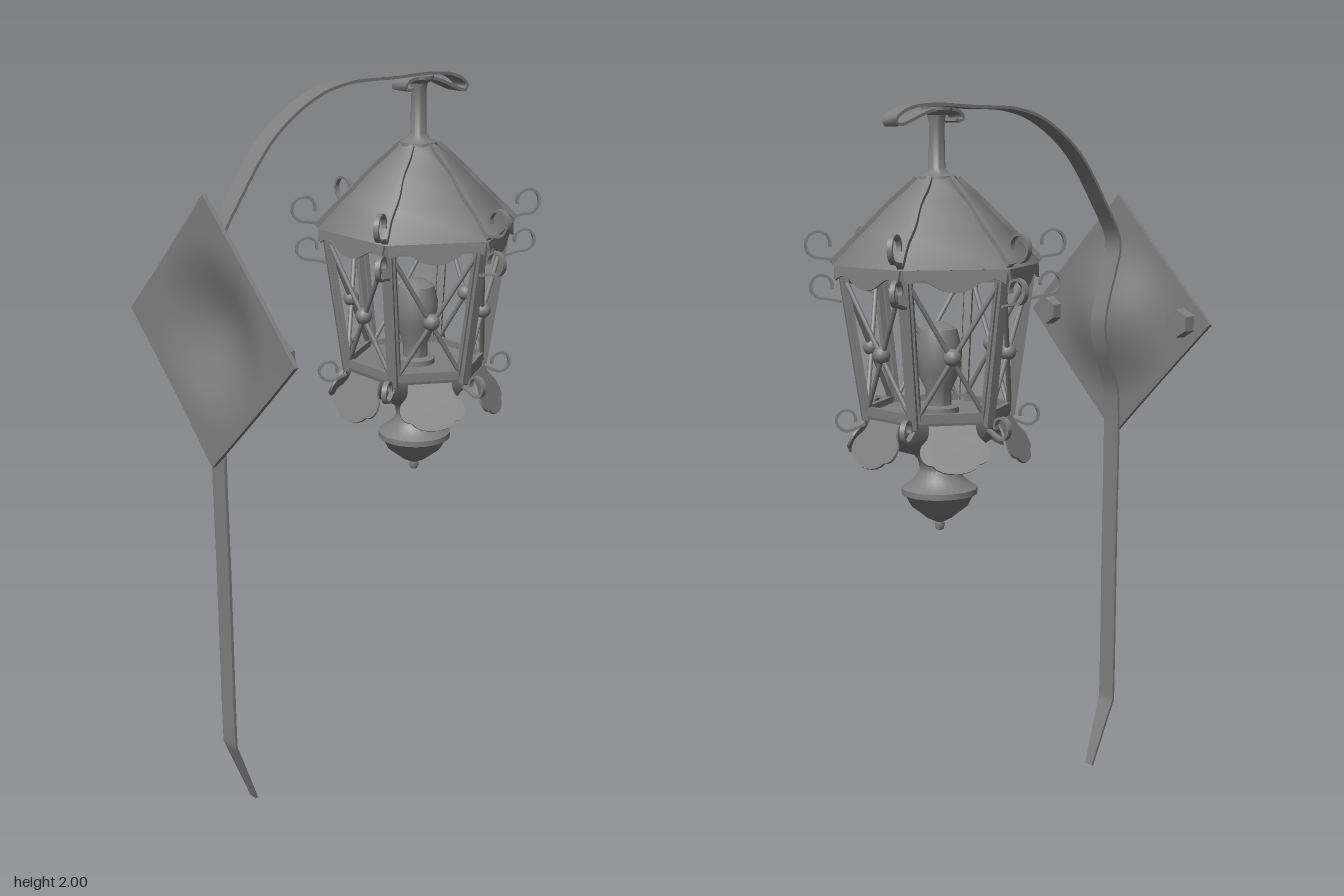
import * as THREE from 'three';
import { toCreasedNormals } from 'three/addons/utils/BufferGeometryUtils.js';

const iron = new THREE.MeshStandardMaterial({ color: 0x7e7e7e, side: THREE.DoubleSide });
iron.name = 'grey iron';

const UP = new THREE.Vector3(0, 1, 0);
const V2 = (p) => new THREE.Vector2(p[0], p[1]);

function add(parent, name, geometry, x = 0, y = 0, z = 0) {
  const mesh = new THREE.Mesh(geometry, iron);
  mesh.name = name;
  mesh.position.set(x, y, z);
  parent.add(mesh);
  return mesh;
}

// Flat iron strip following [z, y] points, wide along x
function strip(points, width, thick, steps) {
  const curve = new THREE.CatmullRomCurve3(points.map(([z, y]) => new THREE.Vector3(0, y, z)));
  curve.arcLengthDivisions = 800;
  const geo = new THREE.BoxGeometry(1, 1, 1, 1, 1, steps);
  const pos = geo.attributes.position;
  for (let i = 0; i < pos.count; i++) {
    const t = THREE.MathUtils.clamp(pos.getZ(i) + 0.5, 0, 1);
    const p = curve.getPointAt(t), d = curve.getTangentAt(t);
    const off = pos.getY(i) * thick;
    pos.setXYZ(i, pos.getX(i) * width(p.y, t), p.y + d.z * off, p.z - d.y * off);
  }
  geo.computeVertexNormals();
  return geo;
}

// Straight bar between two points of its parent
function bar(parent, name, a, b, width, depth, round = false) {
  const from = new THREE.Vector3(...a), to = new THREE.Vector3(...b);
  const len = from.distanceTo(to);
  const geo = round
    ? new THREE.CylinderGeometry(width / 2, width / 2, len, 8).rotateX(Math.PI / 2)
    : new THREE.BoxGeometry(width, depth, len);
  const mesh = add(parent, name, geo);
  mesh.position.copy(from).add(to).multiplyScalar(0.5);
  mesh.quaternion.setFromRotationMatrix(new THREE.Matrix4().lookAt(to, from, UP));
}

const roundLathe = (pts) => toCreasedNormals(new THREE.LatheGeometry(pts.map(V2), 28), 0.7);
// Six-sided turned form with corners on the x axis and softened ridges
const hexLathe = (pts) => toCreasedNormals(new THREE.LatheGeometry(pts.map(V2), 6, Math.PI / 6), 0.9);

// Open curl rising from a foot and winding back on itself
function curl(foot, centre, r) {
  const pts = [foot];
  for (let i = 0; i <= 12; i++) {
    const a = -1.75 + i * 0.43;
    const k = r * (1 - 0.018 * i);
    pts.push([centre[0] + k * Math.cos(a), centre[1] + k * Math.sin(a)]);
  }
  return strip(pts, () => 0.014, 0.007, 48);
}

function extrude(shape, depth) {
  return new THREE.ExtrudeGeometry(shape, { depth, bevelEnabled: false, curveSegments: 8 });
}

// Flared skirt leaf, hanging down from y = 0
function petalShape() {
  const s = new THREE.Shape();
  s.moveTo(-0.062, 0);
  s.quadraticCurveTo(-0.06, -0.03, -0.078, -0.045);
  s.bezierCurveTo(-0.1, -0.06, -0.095, -0.108, -0.06, -0.108);
  s.bezierCurveTo(-0.045, -0.14, 0.045, -0.14, 0.06, -0.108);
  s.bezierCurveTo(0.095, -0.108, 0.1, -0.06, 0.078, -0.045);
  s.quadraticCurveTo(0.06, -0.03, 0.062, 0);
  return s;
}

// Scalloped trim below the eave
function valanceShape() {
  const s = new THREE.Shape();
  s.moveTo(-0.135, 0);
  s.lineTo(-0.128, -0.04);
  s.quadraticCurveTo(-0.095, -0.015, -0.06, -0.04);
  s.quadraticCurveTo(0, -0.08, 0.06, -0.04);
  s.quadraticCurveTo(0.095, -0.015, 0.128, -0.04);
  s.lineTo(0.135, 0);
  return s;
}

function buildBracket(root) {
  const bracket = new THREE.Group();
  bracket.name = 'bracket';
  root.add(bracket);

  // Long strap: bent foot, bulge over the plate, arch and end scroll
  const path = [
    [0.405, 0], [0.442, 0.1], [0.476, 0.19], [0.48, 0.2], [0.481, 0.22], [0.482, 0.7],
    [0.482, 1.14], [0.474, 1.2], [0.432, 1.31], [0.419, 1.38], [0.43, 1.44], [0.466, 1.55],
    [0.479, 1.6], [0.474, 1.64], [0.415, 1.735], [0.3, 1.88], [0.165, 1.966], [0.06, 1.992],
    [-0.1, 1.994], [-0.23, 1.996], [-0.31, 1.986], [-0.355, 1.964], [-0.362, 1.95],
    [-0.35, 1.942], [-0.31, 1.955], [-0.25, 1.978], [-0.19, 1.986], [-0.145, 1.979],
    [-0.134, 1.966], [-0.142, 1.956], [-0.162, 1.96],
  ];
  const width = (y) => THREE.MathUtils.lerp(0.028, 0.057, Math.min(1, y / 0.2));
  add(bracket, 'strap', strip(path, width, 0.008, 220));

  // Diamond plate pressed backwards in the middle
  const plate = new THREE.BoxGeometry(0.505, 0.505, 0.012, 24, 24, 1).rotateZ(Math.PI / 4);
  const pos = plate.attributes.position;
  for (let i = 0; i < pos.count; i++) {
    const r = Math.hypot(pos.getX(i), pos.getY(i));
    const f = 1 - THREE.MathUtils.smoothstep(r, 0.01, 0.24);
    pos.setZ(i, pos.getZ(i) - 0.052 * f - 0.012 * Math.max(0, 1 - r / 0.34));
  }
  plate.computeVertexNormals();
  add(bracket, 'wallPlate', plate, 0, 1.402, 0.501);

  // Hexagonal bolt heads on the back
  for (const x of [-0.264, 0.264]) {
    const head = new THREE.CylinderGeometry(0.04, 0.043, 0.034, 6).rotateX(-Math.PI / 2);
    add(bracket, 'bolt', toCreasedNormals(head, 0.4), x, 1.402, 0.477);
  }
}

function buildLantern(root) {
  const lantern = new THREE.Group();
  lantern.name = 'lantern';
  lantern.position.z = -0.205;
  root.add(lantern);

  add(lantern, 'hanger', roundLathe([
    [0.052, 1.8], [0.05, 1.815], [0.034, 1.82], [0.022, 1.835], [0.02, 1.95], [0.024, 1.97], [0.04, 1.982], [0.04, 1.99], [0, 1.99],
  ]));
  add(lantern, 'roof', hexLathe([
    [0.235, 1.582], [0.281, 1.586], [0.205, 1.668], [0.125, 1.746], [0.05, 1.814],
  ]));
  add(lantern, 'bowl', hexLathe([
    [0.055, 1.07], [0.11, 1.085], [0.17, 1.125], [0.2, 1.172], [0.205, 1.195], [0.16, 1.192], [0, 1.185],
  ]));
  add(lantern, 'finial', roundLathe([
    [0, 0.86], [0.01, 0.864], [0.014, 0.875], [0.012, 0.886], [0.035, 0.898], [0.078, 0.932], [0.092, 0.958],
    [0.104, 0.966], [0.104, 0.982], [0.09, 0.99], [0.066, 1.01], [0.053, 1.035], [0.058, 1.06], [0.075, 1.08],
  ]));
  add(lantern, 'candle', roundLathe([
    [0.055, 1.19], [0.055, 1.205], [0.035, 1.21], [0.035, 1.25], [0.058, 1.3], [0.062, 1.37], [0.05, 1.415], [0.02, 1.432], [0, 1.435],
  ]));

  const petal = extrude(petalShape(), 0.006);
  const valance = extrude(valanceShape(), 0.006);
  const rail = [[0.222, 1.565], [0.172, 1.2]]; // distance of each rail from the axis, height

  for (let k = 0; k < 6; k++) {
    // One side: rails, crossed bars, valance and skirt
    const side = new THREE.Group();
    side.name = 'side';
    side.rotation.y = (k * Math.PI) / 3;
    lantern.add(side);
    const half = rail.map(([r]) => r * Math.tan(Math.PI / 6));
    rail.forEach(([r, y], i) => {
      add(side, 'rail', new THREE.BoxGeometry(half[i] * 2, 0.024, 0.014), 0, y, r);
    });
    for (const s of [-1, 1]) {
      bar(side, 'crossBar', [s * (half[0] - 0.012), 1.55, 0.22], [-s * (half[1] - 0.012), 1.205, 0.173], 0.013, 0, true);
      bar(side, 'frameEdge', [s * (half[0] - 0.014), 1.57, 0.222], [s * (half[1] - 0.014), 1.19, 0.171], 0.014, 0.012);
    }
    add(side, 'rosette', new THREE.SphereGeometry(0.023, 14, 10), 0, 1.36, 0.194);
    add(side, 'valance', valance, 0, 1.588, 0.234).rotation.x = -0.1;
    add(side, 'skirt', petal, 0, 1.18, 0.182).rotation.x = -0.51;

    // One corner: post, roof ridge strip and three curls
    const corner = new THREE.Group();
    corner.name = 'corner';
    corner.rotation.y = ((k + 0.5) * Math.PI) / 3;
    lantern.add(corner);
    bar(corner, 'post', [0, 1.58, 0.258], [0, 1.175, 0.2], 0.026, 0.016);
    const wavy = (y, t) => 0.013 + 0.004 * Math.sin(t * 14);
    add(corner, 'ridge', strip([[0.055, 1.81], [0.125, 1.748], [0.205, 1.67], [0.283, 1.595]], wavy, 0.014, 24));
    add(corner, 'roofCurl', curl([0.275, 1.6], [0.314, 1.642], 0.037));
    add(corner, 'upperCurl', curl([0.25, 1.49], [0.307, 1.533], 0.033));
    add(corner, 'lowerCurl', curl([0.2, 1.165], [0.25, 1.177], 0.03));
  }
}

export function createModel() {
  const root = new THREE.Group();
  root.name = 'hangingLantern';
  buildBracket(root);
  buildLantern(root);
  return root;
}
